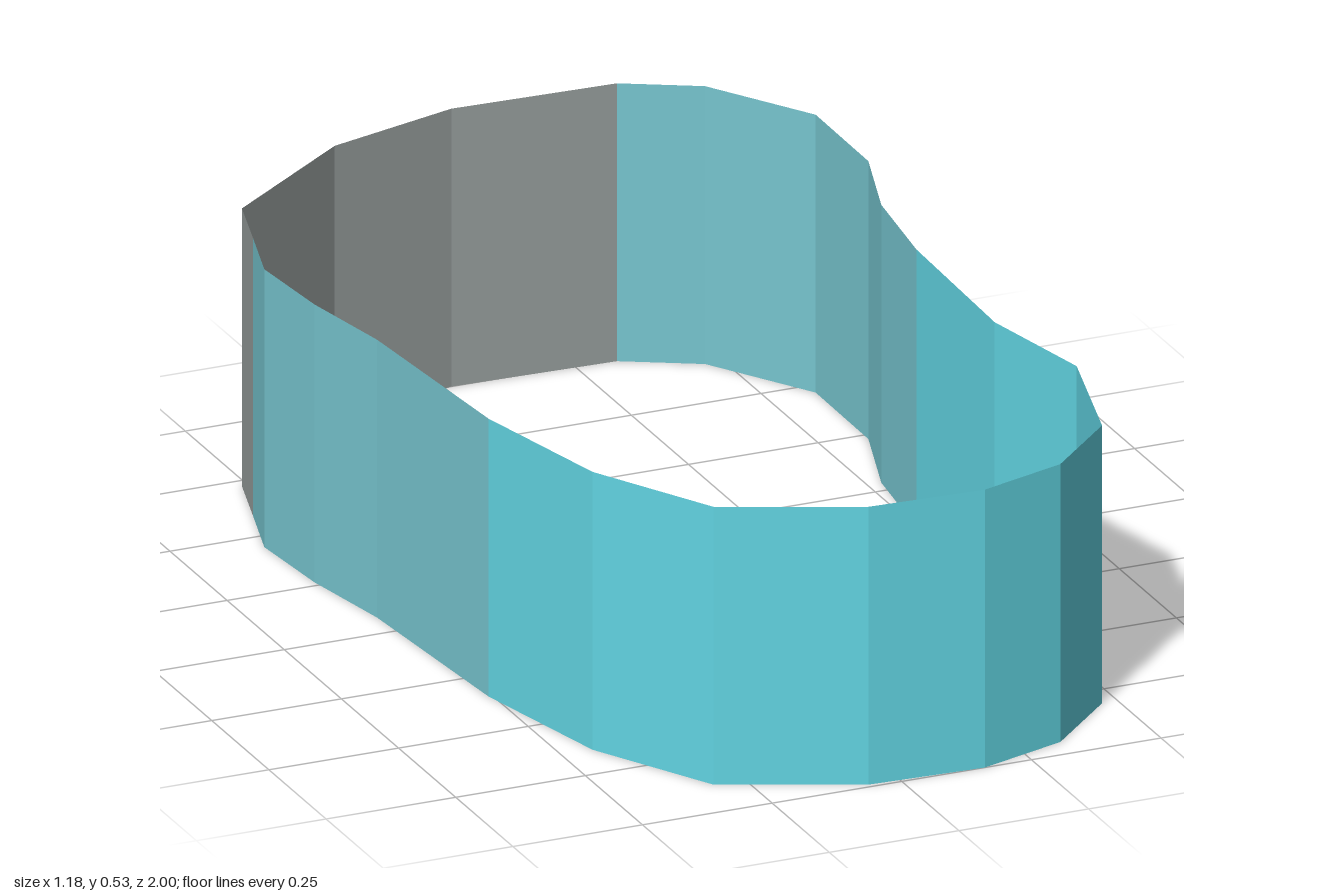
import * as THREE from 'three';

const HEIGHT = 0.53;

// Outline of the band as [x, z], running from the front round the left side, back and right side
const OUTLINE = [
  [-0.31, 0.88], [-0.06, 0.99], [0.16, 1.0], [0.33, 0.945], [0.47, 0.81], [0.54, 0.54],
  [0.49, 0.295], [0.5, -0.07], [0.527, -0.285], [0.588, -0.48], [0.59, -0.715], [0.465, -0.915],
  [0.328, -0.99], [0.013, -1.0], [-0.245, -0.925], [-0.512, -0.725], [-0.55, -0.59], [-0.59, -0.45],
  [-0.575, -0.265], [-0.54, -0.07], [-0.508, 0.345], [-0.44, 0.645],
];

function flatMaterial(name, color) {
  const material = new THREE.MeshStandardMaterial({ color, side: THREE.DoubleSide });
  material.name = name;
  return material;
}

// Upright facets between outline points `from` and `to` (wrapping round the loop)
function wall(name, from, to, material) {
  const positions = [];
  for (let i = from; i < to; i++) {
    const [ax, az] = OUTLINE[i % OUTLINE.length];
    const [bx, bz] = OUTLINE[(i + 1) % OUTLINE.length];
    positions.push(ax, 0, az, bx, 0, bz, bx, HEIGHT, bz);
    positions.push(ax, 0, az, bx, HEIGHT, bz, ax, HEIGHT, az);
  }
  const geometry = new THREE.BufferGeometry();
  geometry.setAttribute('position', new THREE.Float32BufferAttribute(positions, 3));
  geometry.computeVertexNormals(); // unshared corners keep each facet flat
  const mesh = new THREE.Mesh(geometry, material);
  mesh.name = name;
  return mesh;
}

export function createModel() {
  const cyan = flatMaterial('cyan', 0x62d5e3);
  const paleTeal = flatMaterial('paleTeal', 0x77c6d0);
  const grey = flatMaterial('grey', 0x989f9e);

  const band = new THREE.Group();
  band.name = 'band';
  band.add(
    wall('frontWall', 20, 29, cyan),
    wall('leftWall', 7, 12, paleTeal),
    wall('backWall', 12, 16, grey),
    wall('rightWall', 16, 20, paleTeal),
  );
  return band;
}
